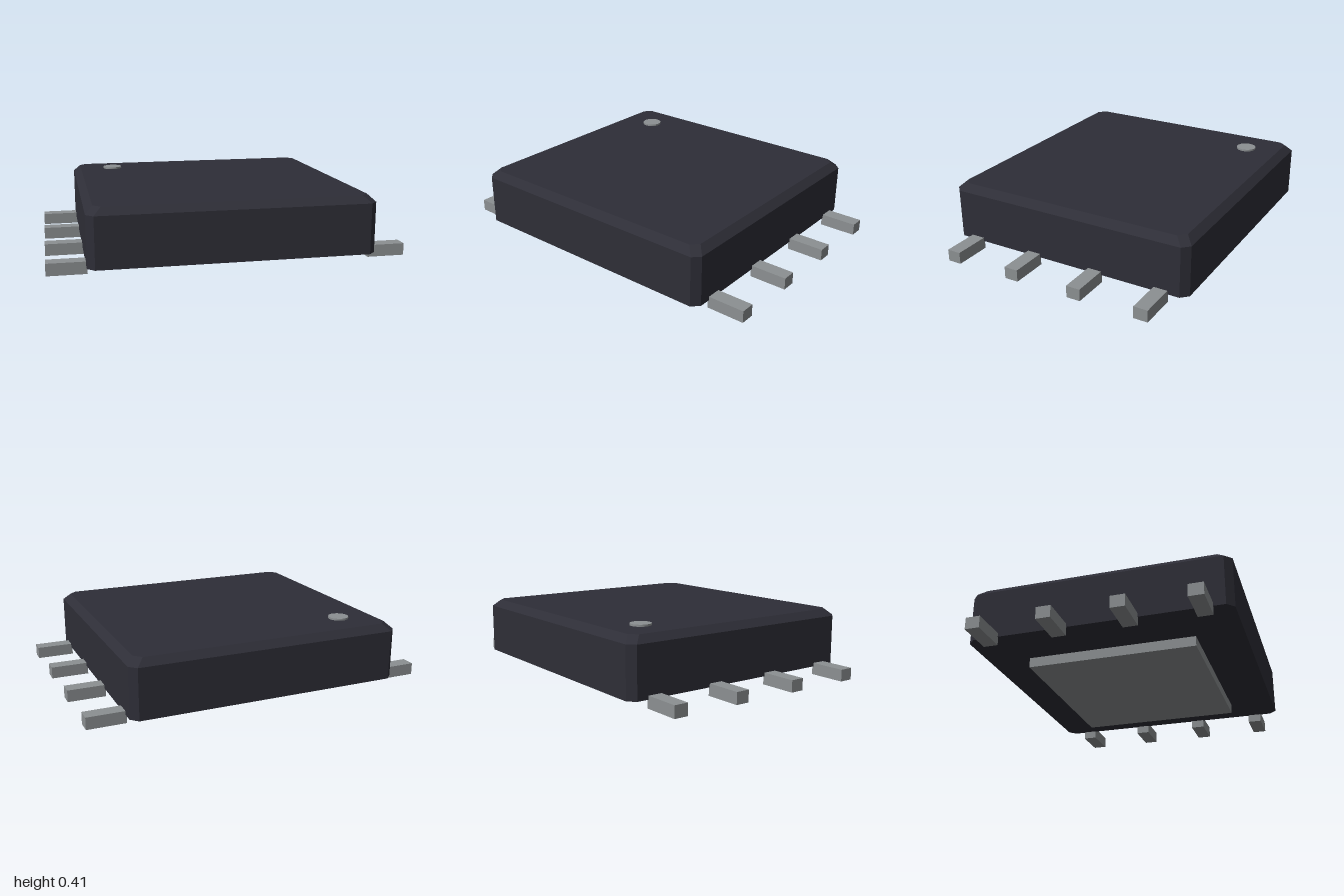
import * as THREE from 'three';

const plastic = new THREE.MeshStandardMaterial({ color: 0x2e2e37 });
plastic.name = 'dark plastic';
plastic.flatShading = true;
const metal = new THREE.MeshStandardMaterial({ color: 0x8c9092 });
metal.name = 'grey metal';

// Rectangle with cut corners, as a ring of 8 points at height y
function cutRing(hx, hz, cut, y) {
  return [
    [hx, hz - cut], [hx, cut - hz], [hx - cut, -hz], [cut - hx, -hz],
    [-hx, cut - hz], [-hx, hz - cut], [cut - hx, hz], [hx - cut, hz],
  ].map(([x, z]) => new THREE.Vector3(x, y, z));
}

// Closed solid through a stack of rings, bottom to top
function loft(rings) {
  const points = [];
  const tri = (...p) => points.push(...p);
  for (let r = 0; r + 1 < rings.length; r++) {
    const a = rings[r], b = rings[r + 1];
    for (let i = 0; i < a.length; i++) {
      const j = (i + 1) % a.length;
      tri(a[i], a[j], b[j]);
      tri(a[i], b[j], b[i]);
    }
  }
  const bottom = rings[0], top = rings[rings.length - 1];
  for (let i = 1; i + 1 < top.length; i++) {
    tri(top[0], top[i], top[i + 1]);
    tri(bottom[0], bottom[i + 1], bottom[i]);
  }
  const geometry = new THREE.BufferGeometry().setFromPoints(points);
  geometry.computeVertexNormals();
  return geometry;
}

export function createModel() {
  const model = new THREE.Group();
  model.name = 'chipPackage';
  const add = (name, geometry, material, x = 0, y = 0, z = 0) => {
    const mesh = new THREE.Mesh(geometry, material);
    mesh.name = name;
    mesh.position.set(x, y, z);
    model.add(mesh);
  };

  // Moulded body with chamfered top and corners
  add('body', loft([
    cutRing(0.79, 0.74, 0.04, 0.072),
    cutRing(0.79, 0.74, 0.04, 0.357),
    cutRing(0.75, 0.70, 0.04, 0.397),
  ]), plastic);

  // Thermal pad underneath
  add('thermalPad', new THREE.BoxGeometry(1.034, 0.057, 0.966), metal, 0, 0.0285, 0);

  // Four leads on each side
  const lead = new THREE.BoxGeometry(0.217, 0.068, 0.081);
  for (const side of [-1, 1]) {
    for (let i = 0; i < 4; i++) {
      add(side > 0 ? 'leftLead' : 'rightLead', lead, metal,
        side * 0.8915, 0.059, (i - 1.5) * 0.395);
    }
  }

  // Pin one marker
  add('pinMarker', new THREE.CylinderGeometry(0.058, 0.058, 0.02, 32), metal, -0.545, 0.398, -0.505);

  return model;
}
